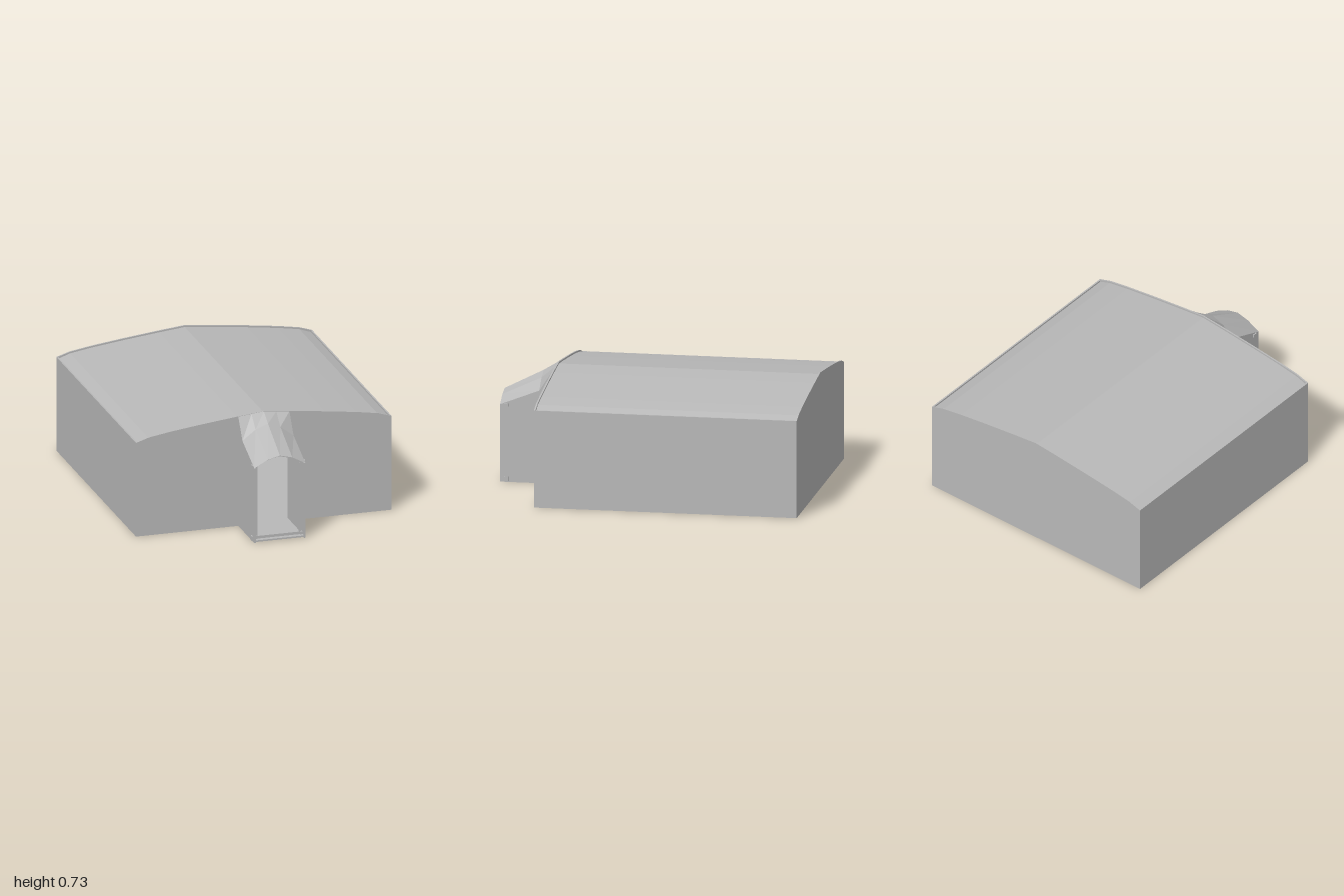
import * as THREE from 'three';

const T = 0.01;                       // panel thickness
const W = 0.825, BACK = -0.975, FRONT = 0.67, PORCH = 0.165, TIP = 1.0;
const half = [[0, 0.733], [0.165, 0.716], [0.4, 0.689], [0.6, 0.663], [0.74, 0.64], [W, 0.613]];

const mirrored = (pts) => [...pts.slice(1).reverse().map(([x, y]) => [-x, y]), ...pts];
const toShape = (pts) => new THREE.Shape(pts.map(([x, y]) => new THREE.Vector2(x, y)));

export function createModel() {
  const model = new THREE.Group();
  const canvas = new THREE.MeshStandardMaterial({ color: 0xb8b8b8, side: THREE.DoubleSide });
  canvas.name = 'greyCanvas';

  const add = (name, geometry, x = 0, y = 0, z = 0) => {
    const mesh = new THREE.Mesh(geometry, canvas);
    mesh.name = name;
    mesh.position.set(x, y, z);
    model.add(mesh);
    return mesh;
  };
  const box = (name, w, h, d, x, y, z) => add(name, new THREE.BoxGeometry(w, h, d), x, y, z);
  const extrude = (name, pts, depth, z) =>
    add(name, new THREE.ExtrudeGeometry(toShape(pts), { depth, bevelEnabled: false }), 0, 0, z);
  // A strip of constant height that follows an arch
  const strip = (pts, h) => [...pts, ...[...pts].reverse().map(([x, y]) => [x, y - h])];

  // Hall: gable walls, the front one with a doorway
  const gable = mirrored(half);
  extrude('backWall', [[-W, 0], ...gable, [W, 0]], T, BACK);
  const D = PORCH - T;
  extrude('frontWall', [[-W, 0], ...gable, [W, 0], [D, 0], [D, 0.5], [0, 0.56], [-D, 0.5], [-D, 0]], T, FRONT - T);

  // Hall roof sits just inside the wall tops
  const roofPts = mirrored(half.map(([x, y]) => [Math.min(x, W - T), y - 0.01]));
  extrude('hallRoof', strip(roofPts, T), FRONT - BACK - 2 * T, BACK + T);

  // Floors, raised slightly above the wall feet
  const length = FRONT - BACK, middle = (FRONT + BACK) / 2;
  box('hallFloor', 2 * (W - T), T, length - 2 * T, 0, 0.011, middle);
  box('porchFloor', 2 * D, T, TIP - FRONT + T, 0, 0.011, (TIP + FRONT - T) / 2);

  // Porch roof from three arched cross-sections
  const sections = [
    [TIP, 0.489, 0.535, 0.555],
    [0.755, 0.585, 0.65, 0.68],
    [FRONT, 0.714, 0.723, 0.732],
  ].map(([z, eave, mid, ridge]) =>
    mirrored([[0, ridge], [0.08, mid], [PORCH, eave]]).map(([x, y]) => [x, y, z]));
  const verts = [];
  for (let s = 0; s < 2; s++) {
    for (let i = 0; i < 4; i++) {
      const a = sections[s][i], b = sections[s][i + 1];
      const c = sections[s + 1][i + 1], d = sections[s + 1][i];
      verts.push(...a, ...b, ...c, ...a, ...c, ...d);
    }
  }
  const porchRoof = new THREE.BufferGeometry();
  porchRoof.setAttribute('position', new THREE.Float32BufferAttribute(verts, 3));
  porchRoof.computeVertexNormals();
  add('porchRoof', porchRoof);

  // Side walls and doorway posts, on both sides
  const porchSide = toShape([[FRONT, 0], [TIP, 0], [TIP, 0.489], [0.755, 0.585], [FRONT, 0.714]]);
  for (const s of [1, -1]) {
    const side = s > 0 ? 'left' : 'right';
    box(`${side}Wall`, T, 0.613, length - 2 * T, s * (W - T / 2), 0.3065, middle);
    const wall = new THREE.ExtrudeGeometry(porchSide, { depth: T, bevelEnabled: false });
    wall.rotateY(-Math.PI / 2);
    add(`${side}PorchWall`, wall, s > 0 ? PORCH : -PORCH + T);
    box(`${side}DoorPost`, 0.012, 0.46, 0.015, s * 0.142, 0.25, 0.962);
    box(`${side}FootBracket`, 0.034, 0.03, 0.03, s * 0.155, 0.02, 0.96);
    box(`${side}EaveBracket`, 0.034, 0.02, 0.03, s * 0.155, 0.487, 0.96);
  }

  // Door frame arch and sill
  const arch = mirrored([[0, 0.558], [0.08, 0.538], [PORCH, 0.495]]);
  extrude('doorArch', strip(arch, 0.014), 0.035, 0.945);
  box('doorSill', 0.3, 0.018, 0.015, 0, 0.024, 0.962);
  return model;
}
